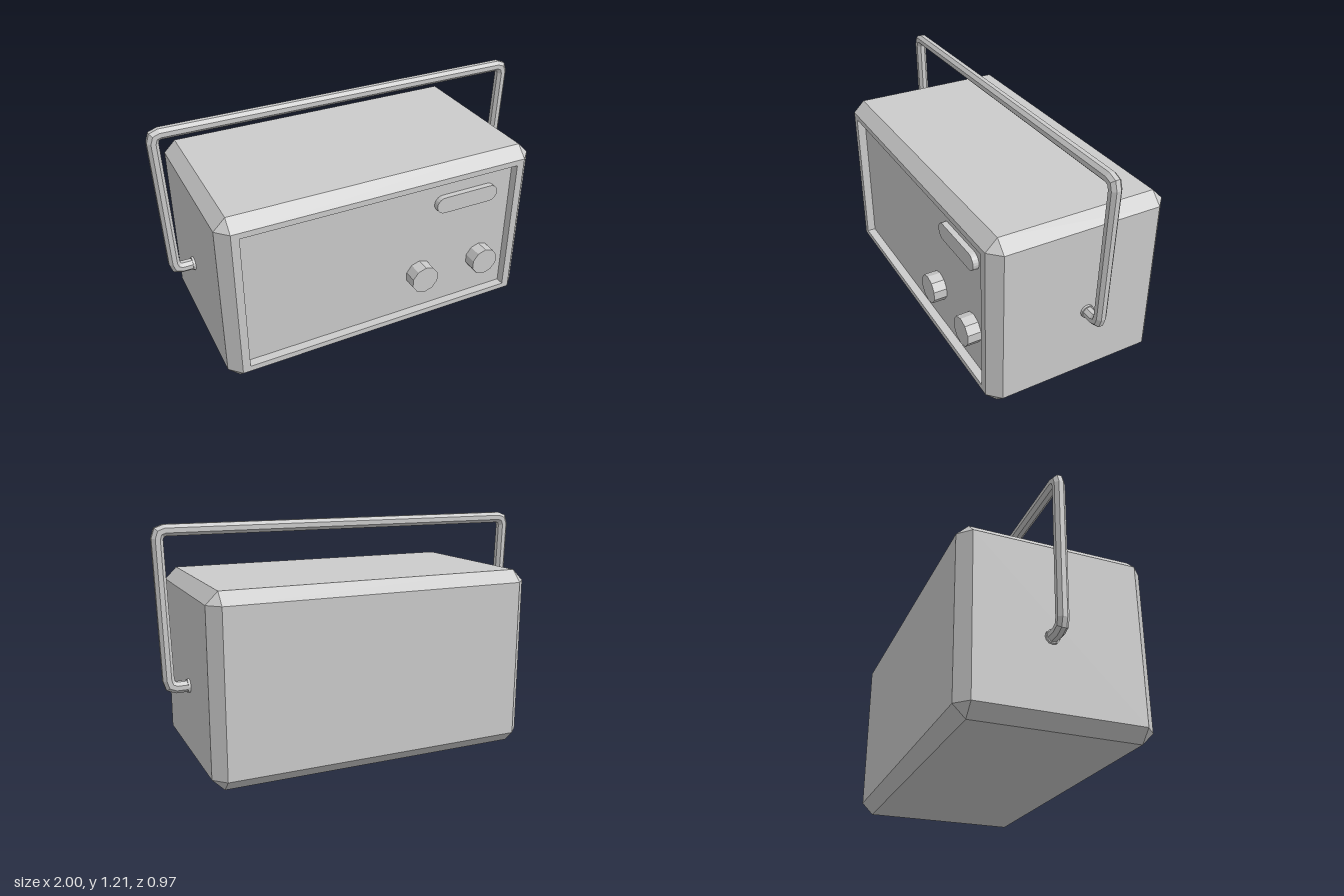
import * as THREE from 'three';

const grey = () => new THREE.MeshStandardMaterial({ color: 0xcccccc, flatShading: true });

// Skin a list of equal-length rings (counter-clockwise about the travel direction) and cap both ends
function loft(rings) {
  const pos = [];
  const tri = (a, b, c) => {
    const area = b.clone().sub(a).cross(c.clone().sub(a)).length();
    if (area > 1e-8) pos.push(...a.toArray(), ...b.toArray(), ...c.toArray());
  };
  const n = rings[0].length;
  for (let k = 0; k + 1 < rings.length; k++) {
    const a = rings[k], b = rings[k + 1];
    for (let i = 0; i < n; i++) {
      const j = (i + 1) % n;
      tri(a[i], a[j], b[j]);
      tri(a[i], b[j], b[i]);
    }
  }
  const first = rings[0], last = rings[rings.length - 1];
  for (let i = 1; i + 1 < n; i++) {
    tri(first[0], first[i + 1], first[i]);
    tri(last[0], last[i], last[i + 1]);
  }
  const geo = new THREE.BufferGeometry();
  geo.setAttribute('position', new THREE.Float32BufferAttribute(pos, 3));
  geo.computeVertexNormals();
  return geo;
}

// Rectangle with cut corners at depth z, centred on y = 0.47
function bodyRing(hw, hh, cut, z) {
  const ring = [];
  for (const [sx, sy] of [[1, 1], [-1, 1], [-1, -1], [1, -1]]) {
    const side = [sx * hw, 0.47 + sy * (hh - cut)];
    const flat = [sx * (hw - cut), 0.47 + sy * hh];
    const pair = sx * sy > 0 ? [side, flat] : [flat, side];
    for (const [x, y] of pair) ring.push(new THREE.Vector3(x, y, z));
  }
  return ring;
}

// Mitred round bar along a path in the xy plane
function bar(path, radius, sides, z) {
  const rings = path.map((p, i) => {
    const d0 = p.clone().sub(path[Math.max(i - 1, 0)]).normalize();
    const d1 = path[Math.min(i + 1, path.length - 1)].clone().sub(p).normalize();
    const d = d0.clone().add(d1).normalize();
    const mitre = 1 / Math.max(d.dot(i ? d0 : d1), 0.5);
    return Array.from({ length: sides }, (_, k) => {
      const a = ((k + 0.5) / sides) * Math.PI * 2;
      const s = Math.cos(a) * radius * mitre;
      return new THREE.Vector3(p.x - d.y * s, p.y + d.x * s, z + Math.sin(a) * radius);
    });
  });
  return loft(rings);
}

export function createModel() {
  const model = new THREE.Group();
  model.name = 'portableRadio';
  const add = (name, geo, x = 0, y = 0, z = 0) => {
    const mesh = new THREE.Mesh(geo, grey());
    mesh.name = name;
    mesh.position.set(x, y, z);
    model.add(mesh);
    return mesh;
  };

  // Chamfered case with a recessed front panel
  const panelZ = 0.415;
  add('case', loft([
    bodyRing(0.79, 0.41, 0, -0.48),
    bodyRing(0.85, 0.47, 0.06, -0.42),
    bodyRing(0.85, 0.47, 0.06, 0.40),
    bodyRing(0.79, 0.41, 0, 0.46),
    bodyRing(0.75, 0.38, 0, 0.46),
    bodyRing(0.75, 0.38, 0, panelZ),
  ]));

  // Ten-sided knobs
  for (const [name, x] of [['leftKnob', 0.59], ['rightKnob', 0.22]]) {
    const depth = 0.485 - panelZ;
    const geo = new THREE.CylinderGeometry(0.077, 0.077, depth, 10).rotateX(Math.PI / 2);
    add(name, geo, x, 0.31, panelZ + depth / 2);
  }

  // Pill-shaped tuning window
  const pill = new THREE.Shape();
  const r = 0.045, half = 0.135;
  pill.absarc(half, 0, r, -Math.PI / 2, Math.PI / 2);
  pill.absarc(-half, 0, r, Math.PI / 2, Math.PI * 1.5);
  add('tuningWindow', new THREE.ExtrudeGeometry(pill, { depth: 0.03, bevelEnabled: false, curveSegments: 5 }),
    0.47, 0.715, panelZ);

  // Carrying handle: half path mirrored into a full loop
  const handleZ = -0.05;
  const leftHalf = [
    [0.935, 1.18], [0.962, 1.17], [0.972, 1.14],
    [0.952, 0.455], [0.942, 0.424], [0.915, 0.413], [0.84, 0.413],
  ].map(([x, y]) => new THREE.Vector2(x, y));
  const rightHalf = leftHalf.map(p => new THREE.Vector2(-p.x, p.y)).reverse();
  add('handle', bar([...rightHalf, ...leftHalf], 0.03, 8, handleZ));

  // Pivot washers where the handle enters the case
  for (const [name, side] of [['leftPivot', 1], ['rightPivot', -1]]) {
    const geo = new THREE.CylinderGeometry(0.035, 0.035, 0.02, 12).rotateZ(Math.PI / 2);
    add(name, geo, side * 0.852, 0.413, handleZ);
  }

  return model;
}
